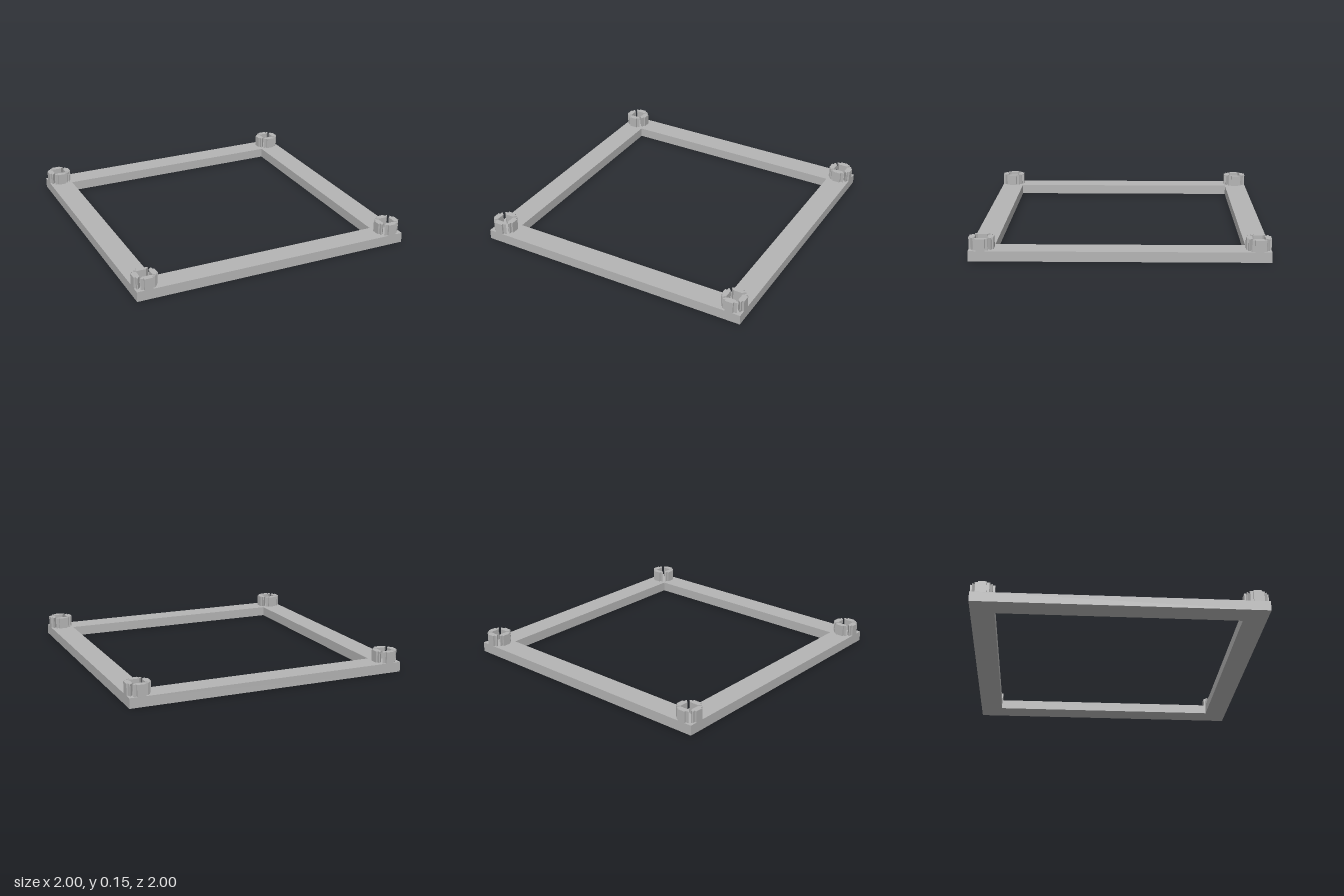
import * as THREE from 'three';

const INNER = 0.837, BASE_H = 0.07, TOP = 0.15, PEG_POS = 0.917;

// Extrude a plan outline upward from the ground plane
function extrudeUp(shape, height) {
  const geo = new THREE.ExtrudeGeometry(shape, { depth: height, bevelEnabled: false });
  return geo.rotateX(-Math.PI / 2);
}

function squarePoints(r) {
  return [[-r, -r], [r, -r], [r, r], [-r, r]].map(([x, y]) => new THREE.Vector2(x, y));
}

export function createModel() {
  const model = new THREE.Group();
  const grey = new THREE.MeshStandardMaterial({ color: 0xb4b4b4 });
  grey.name = 'plainGrey';

  // Square frame with an open middle
  const outline = new THREE.Shape(squarePoints(1));
  outline.holes.push(new THREE.Path(squarePoints(INNER)));
  const frame = new THREE.Mesh(extrudeUp(outline, BASE_H), grey);
  frame.name = 'frame';
  model.add(frame);

  // One stepped peg segment; four of them leave diagonal slots and a centre hole
  const half = [[0.03, 0.042], [0.052, 0.064], [0.047, 0.069], [0.029, 0.069], [0.029, 0.083]];
  const mirrored = half.map(([x, y]) => [-x, y]).reverse();
  const segment = new THREE.Shape([...half, ...mirrored].map(([x, y]) => new THREE.Vector2(x, y)));
  const segmentGeo = extrudeUp(segment, TOP - BASE_H);

  // A slotted peg on each corner
  for (const sx of [-1, 1]) {
    for (const sz of [-1, 1]) {
      const peg = new THREE.Group();
      peg.name = `${sz > 0 ? 'front' : 'back'}${sx > 0 ? 'Left' : 'Right'}Peg`;
      for (let i = 0; i < 4; i++) {
        const part = new THREE.Mesh(segmentGeo, grey);
        part.name = 'pegSegment';
        part.rotation.y = (i * Math.PI) / 2;
        peg.add(part);
      }
      peg.position.set(sx * PEG_POS, BASE_H, sz * PEG_POS);
      model.add(peg);
    }
  }
  return model;
}
